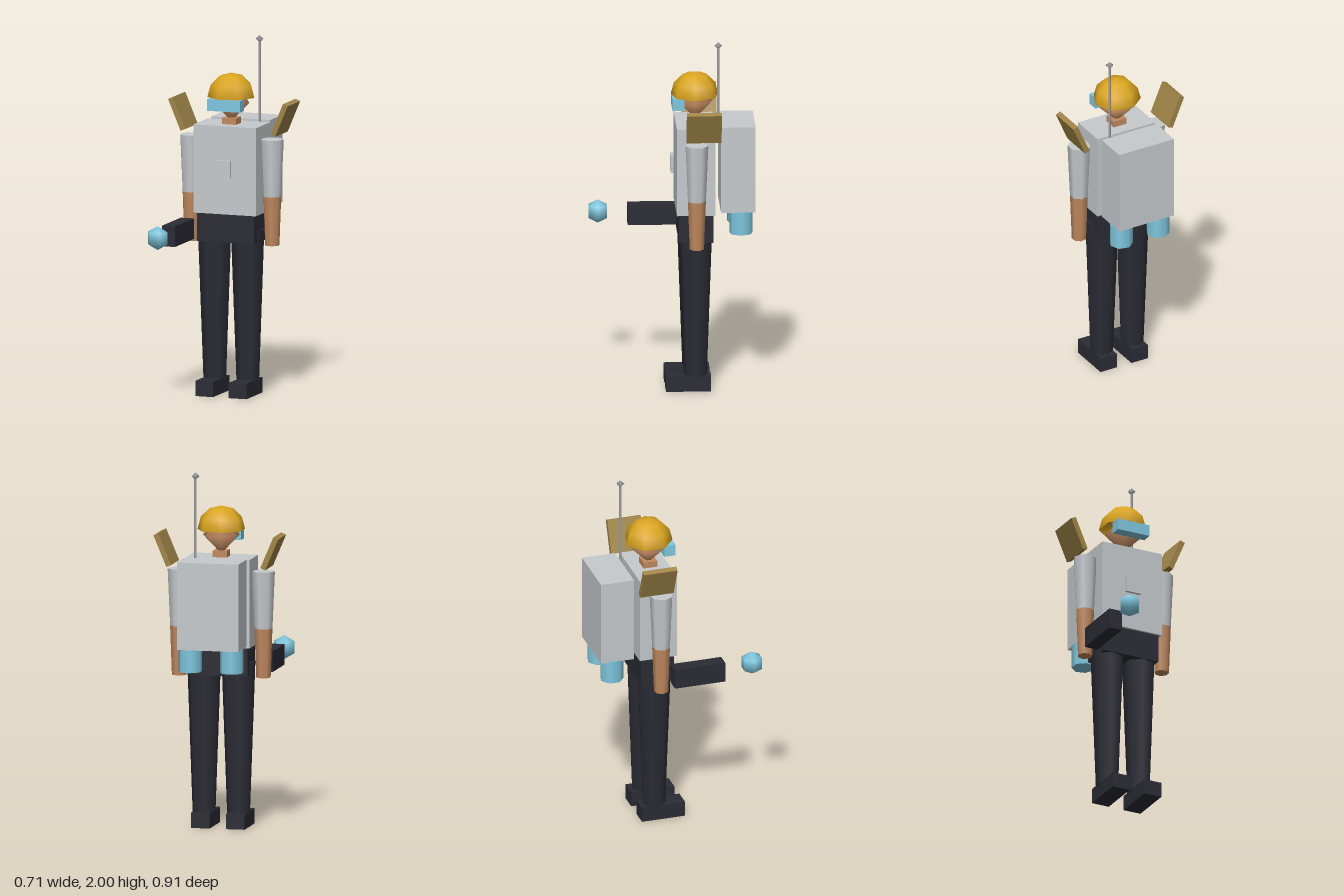
import * as THREE from 'three';

export function createModel() {
  const model = new THREE.Group();
  const mat = (name, color) => {
    const m = new THREE.MeshStandardMaterial({ color });
    m.name = name;
    return m;
  };
  const suit = mat('light grey', 0xc6cacd);
  const dark = mat('charcoal', 0x2b2b35);
  const skin = mat('skin', 0xc0895f);
  const gold = mat('gold', 0xdaa520);
  gold.side = THREE.DoubleSide;
  const bronze = mat('bronze', 0xa08548);
  const cyan = mat('cyan', 0x80c8e0);
  const metal = mat('metal', 0xa4a4a8);

  const Z = -0.125; // depth of the body axis
  const SIDES = 7;

  const add = (name, geometry, material, x, y, z) => {
    const mesh = new THREE.Mesh(geometry, material);
    mesh.name = name;
    mesh.position.set(x, y, z);
    model.add(mesh);
    return mesh;
  };
  const box = (name, material, w, h, d, x, y, z) =>
    add(name, new THREE.BoxGeometry(w, h, d), material, x, y, z);
  // Upright tapered tube from y0 to y1, with one corner turned to the given angle
  const tube = (name, material, rTop, rBottom, y0, y1, x, z, turn, sides = SIDES) => {
    const g = new THREE.CylinderGeometry(rTop, rBottom, y1 - y0, sides).rotateY(turn);
    return add(name, g, material, x, (y0 + y1) / 2, z);
  };

  // Trunk
  box('torso', suit, 0.37, 0.495, 0.215, 0, 1.267, Z);
  box('chestPlate', suit, 0.09, 0.095, 0.016, -0.003, 1.277, 0.002);
  box('hips', dark, 0.34, 0.16, 0.19, 0, 0.94, Z);
  box('neck', skin, 0.082, 0.05, 0.08, 0, 1.525, Z);

  // Head, visor and helmet
  add('head', new THREE.SphereGeometry(0.105, SIDES, 2).rotateY(Math.PI), skin, 0, 1.635, Z);
  box('visor', cyan, 0.197, 0.065, 0.065, 0, 1.632, -0.03);
  const dome = new THREE.SphereGeometry(0.135, SIDES, 3, 0, Math.PI * 2, 0, Math.PI / 2);
  add('helmet', dome.rotateY(Math.PI), gold, 0, 1.665, Z);

  // Backpack and antenna
  box('backpack', suit, 0.35, 0.49, 0.192, 0, 1.277, -0.359);
  tube('antennaRod', metal, 0.007, 0.007, 1.5, 1.98, 0.118, -0.25, 0, 6);
  add('antennaTip', new THREE.SphereGeometry(0.022, 5, 2), metal, 0.118, 1.978, -0.25);

  // Paired parts
  for (const [side, s] of [['right', -1], ['left', 1]]) {
    tube(side + 'Sleeve', suit, 0.065, 0.051, 1.12, 1.44, s * 0.24, Z, -Math.PI / 2);
    tube(side + 'Forearm', skin, 0.051, 0.041, 0.845, 1.12, s * 0.24, Z, -Math.PI / 2);
    tube(side + 'Leg', dark, 0.096, 0.065, 0.08, 0.93, s * 0.098, Z, Math.PI / 2);
    box(side + 'Foot', dark, 0.105, 0.086, 0.25, s * 0.099, 0.043, -0.084);
    tube(side + 'Thruster', cyan, 0.066, 0.066, 0.902, 1.035, s * 0.118, -0.376, Math.PI / 2);
    const panel = box(side + 'ShoulderPanel', bronze, 0.03, 0.19, 0.194, s * 0.304, 1.558, -0.163);
    panel.rotation.z = -s * 0.4;
  }

  // Blaster and its energy ball
  box('blaster', dark, 0.078, 0.115, 0.292, -0.236, 0.922, 0.09);
  add('energyBall', new THREE.SphereGeometry(0.067, 6, 3), cyan, -0.236, 0.938, 0.402);

  return model;
}
